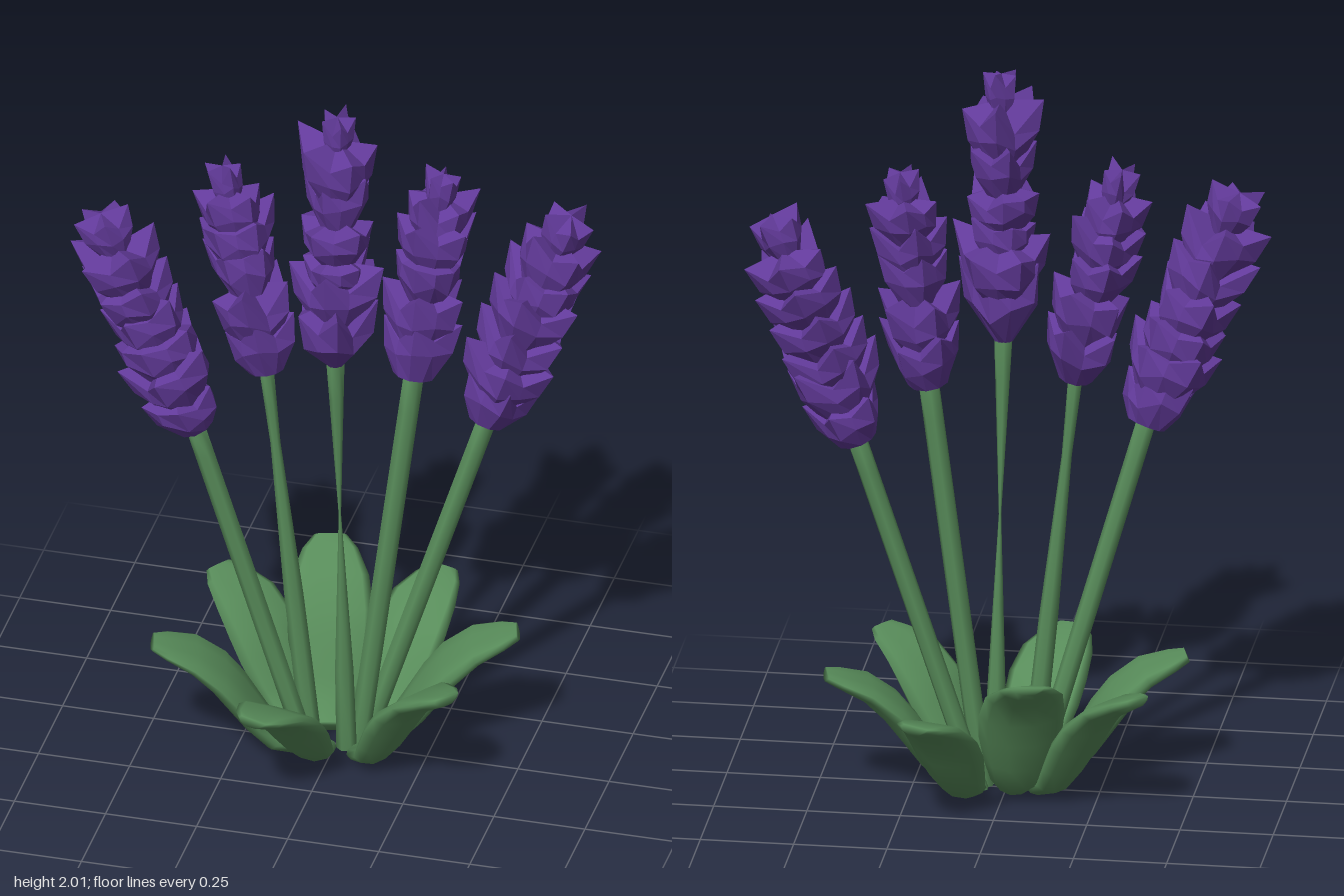
import * as THREE from 'three';

const V = (a) => new THREE.Vector3(...a);

// small seeded random generator
function seeded(seed) {
  let s = seed;
  return () => (s = (s * 16807) % 2147483647) / 2147483647;
}

// closed skin over rings of points, all with the same count
function skin(rings) {
  const n = rings[0].length, pos = [], index = [];
  rings.forEach((ring) => ring.forEach((p) => pos.push(p.x, p.y, p.z)));
  for (let i = 0; i < rings.length - 1; i++) {
    for (let j = 0; j < n; j++) {
      const a = i * n + j, b = i * n + (j + 1) % n;
      index.push(a, b, a + n, b, b + n, a + n);
    }
  }
  const last = (rings.length - 1) * n;
  for (let j = 1; j < n - 1; j++) {
    index.push(0, j + 1, j, last, last + j, last + j + 1);
  }
  const geo = new THREE.BufferGeometry();
  geo.setAttribute('position', new THREE.Float32BufferAttribute(pos, 3));
  geo.setIndex(index);
  geo.computeVertexNormals();
  return geo;
}

// thick oval leaf: a foot turned inward, a steep rise and an outward curl
const LEAF_PATH = [[-0.16, 0], [0.03, 0.08], [0.3, 0.47], [0.6, 0.82], [1, 1]];
const LEAF_PROFILE = [[0, 0.42], [0.13, 0.62], [0.27, 0.8], [0.45, 0.97], [0.6, 1],
  [0.77, 0.9], [0.92, 0.64], [1, 0.38]];

function leafGeometry(base, tip, width) {
  const a = V(base), c = V(tip);
  const path = new THREE.CatmullRomCurve3(LEAF_PATH.map(([out, rise]) => new THREE.Vector3(
    a.x + (c.x - a.x) * out, a.y + (c.y - a.y) * rise, a.z + (c.z - a.z) * out)));
  const side = new THREE.Vector3(c.z - a.z, 0, a.x - c.x).normalize();
  const rings = LEAF_PROFILE.map(([t, w]) => {
    const p = path.getPointAt(t);
    const up = path.getTangentAt(t).cross(side).normalize();
    const thick = 0.014 + 0.022 * Math.sin(Math.PI * Math.min(1, 0.15 + t * 0.85));
    return Array.from({ length: 10 }, (_, k) => {
      const ang = (k / 10) * Math.PI * 2;
      const u = Math.cos(ang);
      // edges lift slightly so the upper face is cupped
      const h = Math.sin(ang) * thick + (u * u - 0.5) * 0.016 * w;
      return p.clone().addScaledVector(side, u * w * width / 2).addScaledVector(up, h);
    });
  });
  return skin(rings);
}

// stem with an optional pinch where it thins out
function stemGeometry(base, top, pinchAt, pinch) {
  const a = V(base), c = V(top);
  const rings = [0, 0.2, 0.4, 0.5, 0.6, 0.7, 0.8, 0.9, 1].map((t) => {
    const p = a.clone().lerp(c, t);
    const r = 0.028 * (1 - pinch * Math.max(0, 1 - Math.abs(t - pinchAt) / 0.45));
    return Array.from({ length: 7 }, (_, k) => {
      const ang = (-k / 7) * Math.PI * 2;
      return new THREE.Vector3(p.x + Math.cos(ang) * r, p.y, p.z + Math.sin(ang) * r);
    });
  });
  return skin(rings);
}

// one whorl of petals: a chunky faceted cup with an uneven, pointed rim
function whorlGeometry(radius, height, foot, rand) {
  const sides = 10;
  const pts = [[0, 0], [foot, 0], [0.92, 0.42], [0.98, 0.85], [0, 0.95]]
    .map(([x, y]) => new THREE.Vector2(x * radius, y * height));
  const geo = new THREE.LatheGeometry(pts, sides);
  const jitter = Array.from({ length: sides }, () => rand() - 0.5);
  const pos = geo.attributes.position;
  for (let i = 0; i <= sides; i++) {
    const k = i % sides, point = k % 2 === 0;
    for (let j = 2; j <= 3; j++) {
      const v = i * pts.length + j;
      const rim = j === 3;
      const s = 1 + jitter[k] * 0.28 + (point ? 0.1 : -0.1) * (rim ? 1.4 : 0.6);
      const dy = jitter[k] * 0.3 + (rim ? (point ? 0.08 : -0.18) : 0);
      pos.setXYZ(v, pos.getX(v) * s, pos.getY(v) + dy * height, pos.getZ(v) * s);
    }
  }
  geo.computeVertexNormals();
  return geo;
}

// whorls along a spike: start as a part of its length, height, radius
const DENSE = [[0, 0.15, 0.098], [0.12, 0.16, 0.115], [0.25, 0.16, 0.114], [0.38, 0.16, 0.11],
  [0.51, 0.16, 0.106], [0.64, 0.16, 0.102], [0.82, 0.13, 0.068]];
const LOOSE = [[0, 0.17, 0.094], [0.15, 0.18, 0.102], [0.38, 0.16, 0.09],
  [0.52, 0.16, 0.096], [0.65, 0.15, 0.086], [0.8, 0.125, 0.045]];
const TALL = [[0, 0.22, 0.1], [0.18, 0.18, 0.118], [0.3, 0.13, 0.085], [0.43, 0.13, 0.1],
  [0.57, 0.16, 0.085], [0.69, 0.18, 0.102], [0.85, 0.13, 0.042]];

// base and top of stem, top of flower
const FLOWERS = [
  { base: [-0.07, 0.01, 0.04], top: [-0.36, 1.02, 0.115], tip: [-0.605, 1.67, 0.185],
    whorls: DENSE, foot: 0.55 },
  { base: [-0.06, 0.01, 0.02], top: [-0.18, 1.17, 0.04], tip: [-0.31, 1.78, 0.02],
    whorls: LOOSE, foot: 0.5, pinchAt: 0.8, pinch: 0.5 },
  { base: [0.035, 0.01, 0.02], top: [0.02, 1.25, 0.08], tip: [0.025, 2.0, 0.07],
    whorls: TALL, foot: 0.25, pinchAt: 0.6, pinch: 0.88 },
  { base: [0.06, 0.01, -0.01], top: [0.205, 1.17, -0.04], tip: [0.275, 1.78, -0.09],
    whorls: LOOSE, foot: 0.6 },
  { base: [0.07, 0.01, -0.04], top: [0.39, 1.02, -0.105], tip: [0.61, 1.66, -0.165],
    whorls: DENSE, foot: 0.55 },
];

// base, tip, width
const LEAVES = [
  [[-0.14, 0.025, 0.07], [-0.46, 0.34, 0.16], 0.22],
  [[-0.04, 0.025, 0.1], [-0.115, 0.305, 0.43], 0.22],
  [[0.12, 0.025, 0.08], [0.37, 0.345, 0.25], 0.22],
  [[0.14, 0.025, -0.04], [0.465, 0.345, -0.13], 0.22],
  [[0.1, 0.025, -0.12], [0.185, 0.32, -0.435], 0.21],
  [[-0.04, 0.025, -0.09], [-0.11, 0.42, -0.36], 0.23],
  [[-0.13, 0.025, -0.06], [-0.385, 0.355, -0.235], 0.22],
];

export function createModel() {
  const model = new THREE.Group();
  model.name = 'floweringPlant';
  const green = new THREE.MeshStandardMaterial({ color: 0x588c5a });
  green.name = 'leafGreen';
  const purple = new THREE.MeshStandardMaterial({ color: 0x623a9a, flatShading: true });
  purple.name = 'petalPurple';
  const rand = seeded(77);

  const add = (parent, geo, mat, name) => {
    const mesh = new THREE.Mesh(geo, mat);
    mesh.name = name;
    parent.add(mesh);
    return mesh;
  };

  // rosette of leaves
  const rosette = new THREE.Group();
  rosette.name = 'leaves';
  LEAVES.forEach((leaf) => add(rosette, leafGeometry(...leaf), green, 'leaf'));
  model.add(rosette);

  // stems and flower spikes
  for (const f of FLOWERS) {
    add(model, stemGeometry(f.base, f.top, f.pinchAt ?? 0.5, f.pinch ?? 0), green, 'stem');

    const spike = new THREE.Group();
    spike.name = 'flowerSpike';
    const axis = V(f.tip).sub(V(f.top));
    const length = axis.length();
    spike.position.copy(V(f.top)).addScaledVector(axis, -0.015);
    spike.quaternion.setFromUnitVectors(new THREE.Vector3(0, 1, 0), axis.normalize());
    f.whorls.forEach(([at, height, radius], i) => {
      const foot = i === 0 ? f.foot : 0.55;
      const whorl = add(spike, whorlGeometry(radius, height, foot, rand), purple, 'petalWhorl');
      whorl.position.y = at * length;
      whorl.rotation.y = i * 1.1 + rand() * 0.4;
      whorl.rotation.x = (rand() - 0.5) * 0.25;
    });
    model.add(spike);
  }
  return model;
}
